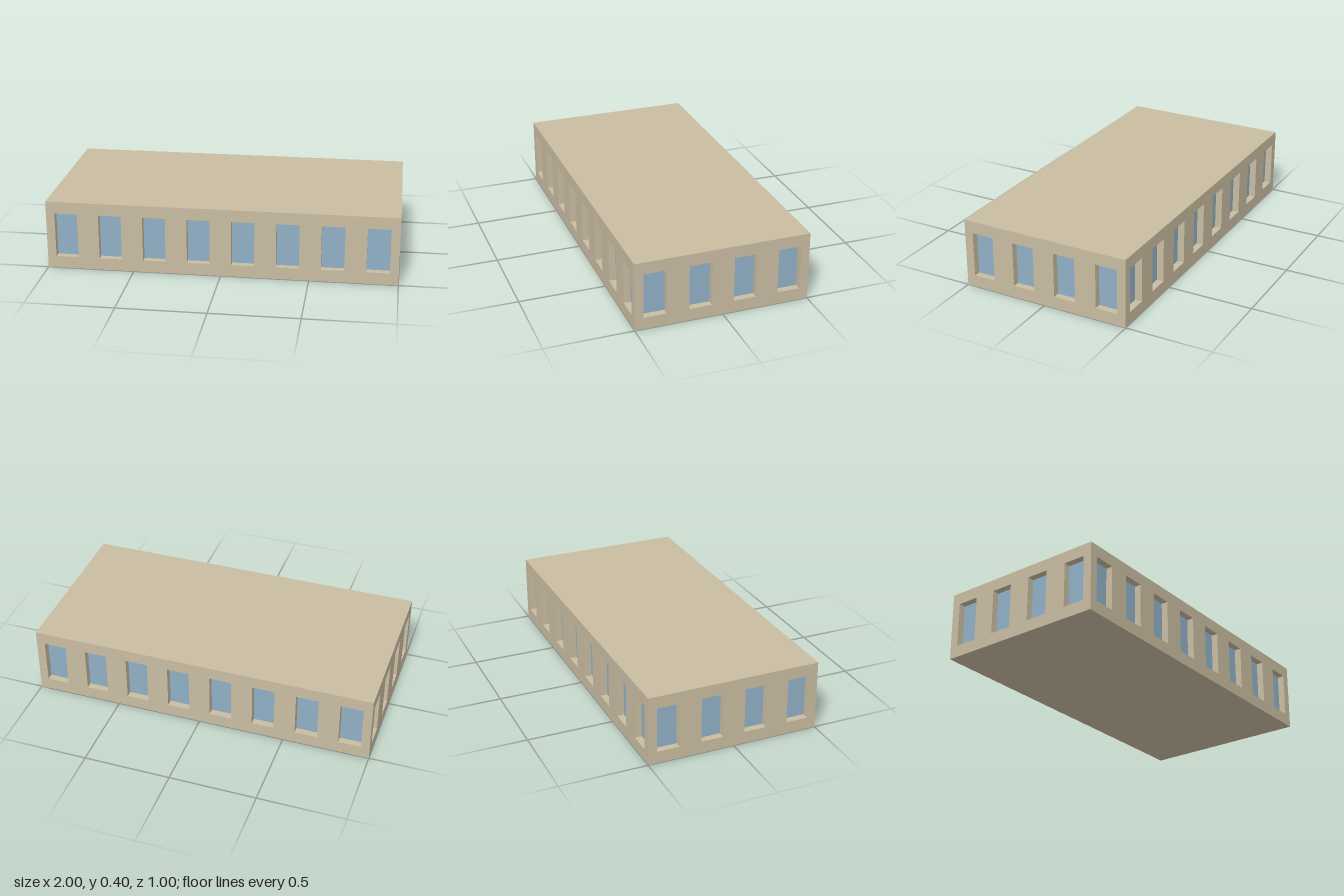
import * as THREE from 'three';

const LENGTH = 2, WIDTH = 1, HEIGHT = 0.4;
const WIN_W = 0.13, WIN_H = 0.26, WIN_Y = 0.2, EDGE = 0.05, DEPTH = 0.04;

export function createModel() {
  const wallMat = new THREE.MeshStandardMaterial({ color: 0xc9bca1 });
  wallMat.name = 'beige wall';
  const glassMat = new THREE.MeshStandardMaterial({ color: 0x90b0c6 });
  glassMat.name = 'blue glass';

  const building = new THREE.Group();
  building.name = 'building';

  const add = (parent, name, geometry, material) => {
    const mesh = new THREE.Mesh(geometry, material);
    mesh.name = name;
    parent.add(mesh);
    return mesh;
  };

  // Rectangle outline centred on x, y
  const rect = (PathType, x, y, w, h) => new PathType([
    [-1, -1], [1, -1], [1, 1], [-1, 1],
  ].map(([sx, sy]) => new THREE.Vector2(x + sx * w / 2, y + sy * h / 2)));

  // One facade: a wall with window openings and recessed glass
  function addFacade(name, width, count, distance, angle) {
    const facade = new THREE.Group();
    facade.name = name;
    facade.rotation.y = angle;
    building.add(facade);

    const span = width - 2 * EDGE - WIN_W;
    const shape = rect(THREE.Shape, 0, HEIGHT / 2, width, HEIGHT);
    for (let i = 0; i < count; i++) {
      const x = (i / (count - 1) - 0.5) * span;
      shape.holes.push(rect(THREE.Path, x, WIN_Y, WIN_W, WIN_H));
      add(facade, 'windowGlass', new THREE.PlaneGeometry(WIN_W, WIN_H), glassMat)
        .position.set(x, WIN_Y, distance - DEPTH);
    }

    // Mitre the inner outline so walls, roof and floor meet cleanly
    const wall = new THREE.ExtrudeGeometry(shape, { depth: DEPTH, bevelEnabled: false });
    const p = wall.attributes.position;
    for (let i = 0; i < p.count; i++) {
      if (p.getZ(i) > DEPTH / 2) continue;
      const x = p.getX(i), y = p.getY(i);
      if (Math.abs(x) > width / 2 - 0.001) p.setX(i, x - Math.sign(x) * DEPTH);
      if (y < 0.001) p.setY(i, DEPTH);
      if (y > HEIGHT - 0.001) p.setY(i, HEIGHT - DEPTH);
    }
    wall.computeVertexNormals();
    add(facade, 'wall', wall, wallMat).position.z = distance - DEPTH;
  }

  addFacade('frontFacade', LENGTH, 8, WIDTH / 2, 0);
  addFacade('leftFacade', WIDTH, 4, LENGTH / 2, Math.PI / 2);
  addFacade('backFacade', LENGTH, 8, WIDTH / 2, Math.PI);
  addFacade('rightFacade', WIDTH, 4, LENGTH / 2, -Math.PI / 2);

  // Flat roof and underside
  const roof = add(building, 'roof', new THREE.PlaneGeometry(LENGTH, WIDTH), wallMat);
  roof.rotation.x = -Math.PI / 2;
  roof.position.y = HEIGHT;
  const floor = add(building, 'floor', new THREE.PlaneGeometry(LENGTH, WIDTH), wallMat);
  floor.rotation.x = Math.PI / 2;

  return building;
}
